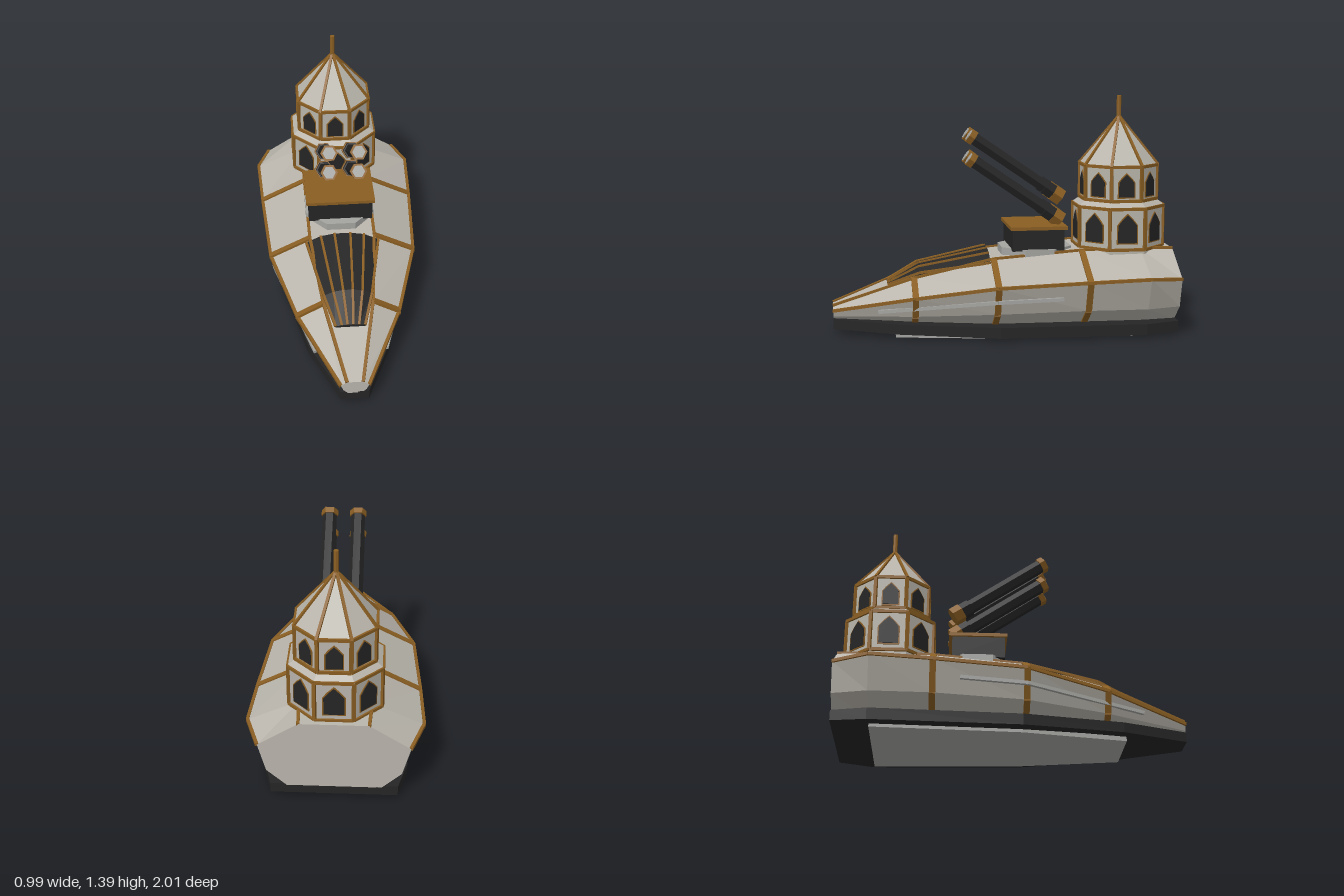
import * as THREE from 'three';

const mat = (name, color) => {
  const m = new THREE.MeshStandardMaterial({ color, flatShading: true });
  m.name = name;
  return m;
};

export function createModel() {
  const plating = mat('pale plating', 0xb9b5ac);
  const bronze = mat('bronze trim', 0x8a5e22);
  const dark = mat('dark iron', 0x252525);
  const steel = mat('grey steel', 0xa4a4a1);
  const model = new THREE.Group();
  model.name = 'gunship';
  const V = (x, y, z) => new THREE.Vector3(x, y, z);

  function add(name, geo, material, parent = model, x = 0, y = 0, z = 0) {
    const m = new THREE.Mesh(geo, material);
    m.name = name;
    m.position.set(x, y, z);
    parent.add(m);
    return m;
  }

  // Square bar between two points; "side" sets the direction of its width
  function bar(name, a, b, w, t, material, parent = model, side = V(0, 1, 0)) {
    const d = b.clone().sub(a), len = d.length();
    d.normalize();
    const n = d.clone().cross(side).normalize();
    const s = n.clone().cross(d).normalize();
    const m = add(name, new THREE.BoxGeometry(w, len, t), material, parent);
    m.quaternion.setFromRotationMatrix(new THREE.Matrix4().makeBasis(s, d, s.clone().cross(d)));
    m.position.copy(a).add(b).multiplyScalar(0.5);
    return m;
  }

  // Closed skin over mirrored half-profiles, listed from bow to stern
  function loft(sections) {
    const rings = sections.map(({ z, p }) => [
      ...p.map(([x, y]) => V(x, y, z)),
      ...[...p].reverse().map(([x, y]) => V(-x, y, z))]);
    const pts = [], n = rings[0].length;
    for (let s = 0; s + 1 < rings.length; s++)
      for (let i = 0; i < n; i++) {
        const j = (i + 1) % n, a = rings[s], b = rings[s + 1];
        pts.push(a[i], a[j], b[j], a[i], b[j], b[i]);
      }
    const f = rings[0], r = rings[rings.length - 1];
    for (let i = 1; i + 1 < n; i++) pts.push(f[0], f[i + 1], f[i], r[0], r[i], r[i + 1]);
    const g = new THREE.BufferGeometry().setFromPoints(pts);
    g.computeVertexNormals();
    return g;
  }

  // Hull: deck edge, widest edge, lower edge and keel edge at each station
  const hull = [
    { z: 1, p: [[0.045, 0.175], [0.08, 0.15], [0.065, 0.115], [0.04, 0.09]] },
    { z: 0.53, p: [[0.145, 0.345], [0.3, 0.255], [0.25, 0.14], [0.16, 0.085]] },
    { z: 0.07, p: [[0.195, 0.455], [0.435, 0.33], [0.37, 0.165], [0.25, 0.08]] },
    { z: -0.45, p: [[0.2, 0.495], [0.47, 0.355], [0.41, 0.18], [0.27, 0.08]] },
    { z: -0.8, p: [[0.2, 0.5], [0.487, 0.368], [0.42, 0.18], [0.28, 0.08]] },
    { z: -1, p: [[0.19, 0.495], [0.415, 0.35], [0.37, 0.18], [0.26, 0.08]] },
  ];
  add('hull', loft(hull), plating);

  // Trim along the hull edges and hoops down its sides
  for (const s of [1, -1]) {
    for (const e of [0, 1])
      for (let i = 0; i + 1 < hull.length; i++) {
        const [a, b] = [hull[i], hull[i + 1]];
        bar('hullEdgeTrim', V(s * a.p[e][0], a.p[e][1], a.z), V(s * b.p[e][0], b.p[e][1], b.z),
          0.018, 0.018, bronze);
      }
    for (const { z, p } of hull.slice(1, 4))
      for (let e = 0; e < 3; e++)
        bar('hullHoop', V(s * p[e][0], p[e][1], z), V(s * p[e + 1][0], p[e + 1][1], z),
          0.035, 0.018, bronze, model, V(0, 0, 1));
    // Side rail
    const rail = [V(s * 0.205, 0.165, 0.74), V(s * 0.415, 0.245, 0.07), V(s * 0.443, 0.26, -0.3)];
    for (let i = 0; i < 2; i++) bar('sideRail', rail[i], rail[i + 1], 0.02, 0.02, steel);
  }

  // Skirt under the hull and the plate beneath it
  const skirt = [[1, 0.08, 0.1, 0.042], [0.62, 0.24, 0.093, 0.035], [0.05, 0.365, 0.085, 0.022],
    [-0.8, 0.402, 0.088, 0.022], [-1, 0.35, 0.09, 0.03]];
  add('skirt', loft(skirt.map(([z, w, t, b]) => ({ z, p: [[w, t], [w, b]] }))), dark);
  const plate = [[0.64, 0.18], [0.05, 0.29], [-0.79, 0.335]];
  add('bottomPlate', loft(plate.map(([z, w]) => ({ z, p: [[w, 0.03], [w, 0.004]] }))), steel);

  // Ribbed bow canopy
  const canopy = [
    { z: 0.68, p: [[0.017, 0.308], [0.05, 0.305], [0.085, 0.3], [0.085, 0.25]] },
    { z: 0.5, p: [[0.028, 0.412], [0.085, 0.402], [0.14, 0.375], [0.14, 0.3]] },
    { z: 0.09, p: [[0.048, 0.497], [0.13, 0.482], [0.218, 0.438], [0.2, 0.38]] },
  ];
  add('canopy', loft(canopy), dark);
  for (const s of [1, -1])
    for (let e = 0; e < 3; e++)
      for (let i = 0; i < 2; i++) {
        const [a, b] = [canopy[i], canopy[i + 1]];
        bar('canopyRib', V(s * a.p[e][0], a.p[e][1], a.z), V(s * b.p[e][0], b.p[e][1], b.z),
          0.014, 0.014, bronze);
      }

  // Gun platform
  const ring = new THREE.CylinderGeometry(0.225, 0.225, 0.06, 8).rotateY(Math.PI / 8);
  add('turretRing', ring, steel, model, 0, 0.475, -0.2);
  add('turretBox', new THREE.BoxGeometry(0.385, 0.13, 0.305), dark, model, 0, 0.56, -0.195);
  add('turretPlate', new THREE.BoxGeometry(0.415, 0.02, 0.335), bronze, model, 0, 0.63, -0.198);

  // Four inclined guns, built along +y and tilted forward
  for (const x of [-0.083, 0.083])
    for (const y of [0.66, 0.795]) {
      const gun = new THREE.Group();
      gun.name = 'gun';
      gun.position.set(x, y, -0.345);
      gun.rotation.x = Math.atan2(0.545, 0.375);
      model.add(gun);
      const part = (name, r, from, to, m) =>
        add(name, new THREE.CylinderGeometry(r, r, to - from, 6).rotateY(Math.PI / 6),
          m, gun, 0, (from + to) / 2, 0);
      part('breech', 0.056, 0, 0.06, bronze);
      part('breechCollar', 0.05, 0.06, 0.12, dark);
      part('barrel', 0.041, 0.12, 0.63, dark);
      part('muzzleRing', 0.049, 0.625, 0.66, bronze);
      part('muzzleCap', 0.037, 0.655, 0.664, steel);
    }

  // Two-tier octagonal tower
  const tower = new THREE.Group();
  tower.name = 'tower';
  tower.position.z = -0.71;
  model.add(tower);
  const K = 1 / Math.cos(Math.PI / 8);
  const corner = (apothem, y, k) => {
    const a = Math.PI / 8 + k * Math.PI / 4;
    return V(Math.sin(a) * apothem * K, y, Math.cos(a) * apothem * K);
  };
  const drum = (name, top, bottom, y0, y1) =>
    add(name, new THREE.CylinderGeometry(top * K, bottom * K, y1 - y0, 8).rotateY(Math.PI / 8),
      plating, tower, 0, (y0 + y1) / 2, 0);
  drum('lowerTier', 0.252, 0.252, 0.46, 0.745);
  drum('towerShoulder', 0.22, 0.258, 0.745, 0.775);
  drum('upperTier', 0.215, 0.215, 0.77, 0.985);
  drum('roof', 0.002, 0.222, 0.98, 1.27);
  add('mast', new THREE.CylinderGeometry(0.014, 0.014, 0.14, 8), bronze, tower, 0, 1.32, 0);

  // Pointed windows, each a dark pane on a slightly larger frame
  function arch(w, y0, y1) {
    const s = new THREE.Shape(), spring = y1 - w * 0.55;
    s.moveTo(-w / 2, y0);
    s.lineTo(w / 2, y0);
    s.lineTo(w / 2, spring);
    s.lineTo(w * 0.28, spring + (y1 - spring) * 0.5);
    s.lineTo(0, y1);
    s.lineTo(-w * 0.28, spring + (y1 - spring) * 0.5);
    s.lineTo(-w / 2, spring);
    return new THREE.ExtrudeGeometry(s, { depth: 0.005, bevelEnabled: false });
  }
  const tiers = [[0.252, 0.5, 0.74, 0.112, 0.54, 0.705], [0.215, 0.782, 0.982, 0.09, 0.805, 0.94]];
  for (let k = 0; k < 8; k++) {
    const face = new THREE.Group();
    face.name = 'towerFace';
    face.rotation.y = k * Math.PI / 4;
    tower.add(face);
    for (const [r, y0, y1, w, b, t] of tiers) {
      add('windowFrame', arch(w + 0.014, b - 0.007, t + 0.009), bronze, face, 0, 0, r);
      add('windowPane', arch(w, b, t), dark, face, 0, 0, r + 0.003);
      // Corner posts and tier bands
      bar('cornerPost', corner(r, y0, k), corner(r, y1, k), 0.02, 0.02, bronze, tower, corner(1, 0, k));
      for (const y of [y0, y1])
        bar('tierBand', corner(r + 0.002, y, k), corner(r + 0.002, y, k + 1), 0.018, 0.018, bronze, tower);
    }
    bar('roofRib', corner(0.222, 0.982, k), V(0, 1.27, 0), 0.016, 0.016, bronze, tower);
  }

  model.position.x = -0.006;
  const root = new THREE.Group();
  root.name = 'model';
  root.add(model);
  return root;
}
